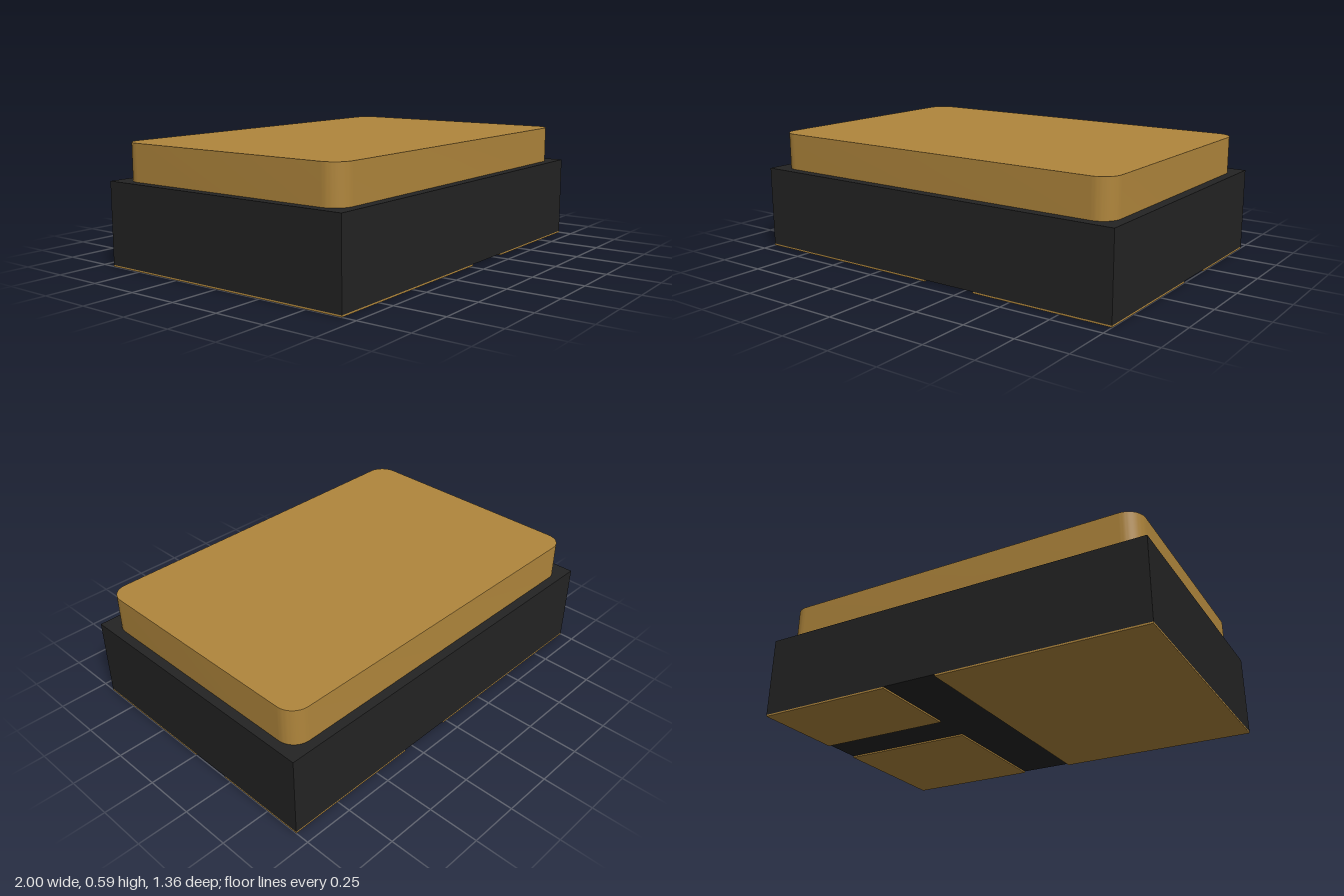
import * as THREE from 'three';
import { toCreasedNormals } from 'three/addons/utils/BufferGeometryUtils.js';

const W = 1, D = 0.68;                 // half width and half depth of the body
const PAD = 0.008, BODY_TOP = 0.41, LID_TOP = 0.592;

function material(name, color) {
  const m = new THREE.MeshStandardMaterial({ color });
  m.name = name;
  return m;
}

// Box given by its limits on each axis
function block(name, mat, [x0, x1], [y0, y1], [z0, z1]) {
  const mesh = new THREE.Mesh(new THREE.BoxGeometry(x1 - x0, y1 - y0, z1 - z0), mat);
  mesh.position.set((x0 + x1) / 2, (y0 + y1) / 2, (z0 + z1) / 2);
  mesh.name = name;
  return mesh;
}

// Centred rectangle with rounded corners
function roundedRect(w, d, r) {
  const s = new THREE.Shape();
  s.absarc(w - r, d - r, r, 0, Math.PI / 2);
  s.absarc(r - w, d - r, r, Math.PI / 2, Math.PI);
  s.absarc(r - w, r - d, r, Math.PI, Math.PI * 1.5);
  s.absarc(w - r, r - d, r, Math.PI * 1.5, Math.PI * 2);
  s.closePath();
  return s;
}

export function createModel() {
  const model = new THREE.Group();
  model.name = 'surfaceMountPackage';
  const ceramic = material('black ceramic', 0x232323);
  const gold = material('gold metal', 0xb0863c);

  // Ceramic body
  model.add(block('body', ceramic, [-W, W], [PAD, BODY_TOP], [-D, D]));

  // Metal lid with rounded vertical corners
  const lidGeometry = new THREE.ExtrudeGeometry(roundedRect(0.953, 0.633, 0.09), {
    depth: LID_TOP - BODY_TOP, bevelEnabled: false, curveSegments: 10,
  });
  lidGeometry.rotateX(-Math.PI / 2);
  const lid = new THREE.Mesh(toCreasedNormals(lidGeometry, 0.6), gold);
  lid.position.y = BODY_TOP;
  lid.name = 'lid';
  model.add(lid);

  // Contact pads on the underside: one large, two small
  const pads = [
    ['largePad', [-W, 0.023], [-D, D]],
    ['backPad', [0.3, W], [-D, -0.205]],
    ['frontPad', [0.3, W], [0, D]],
  ];
  for (const [name, x, z] of pads) model.add(block(name, gold, x, [0, PAD], z));

  return model;
}
